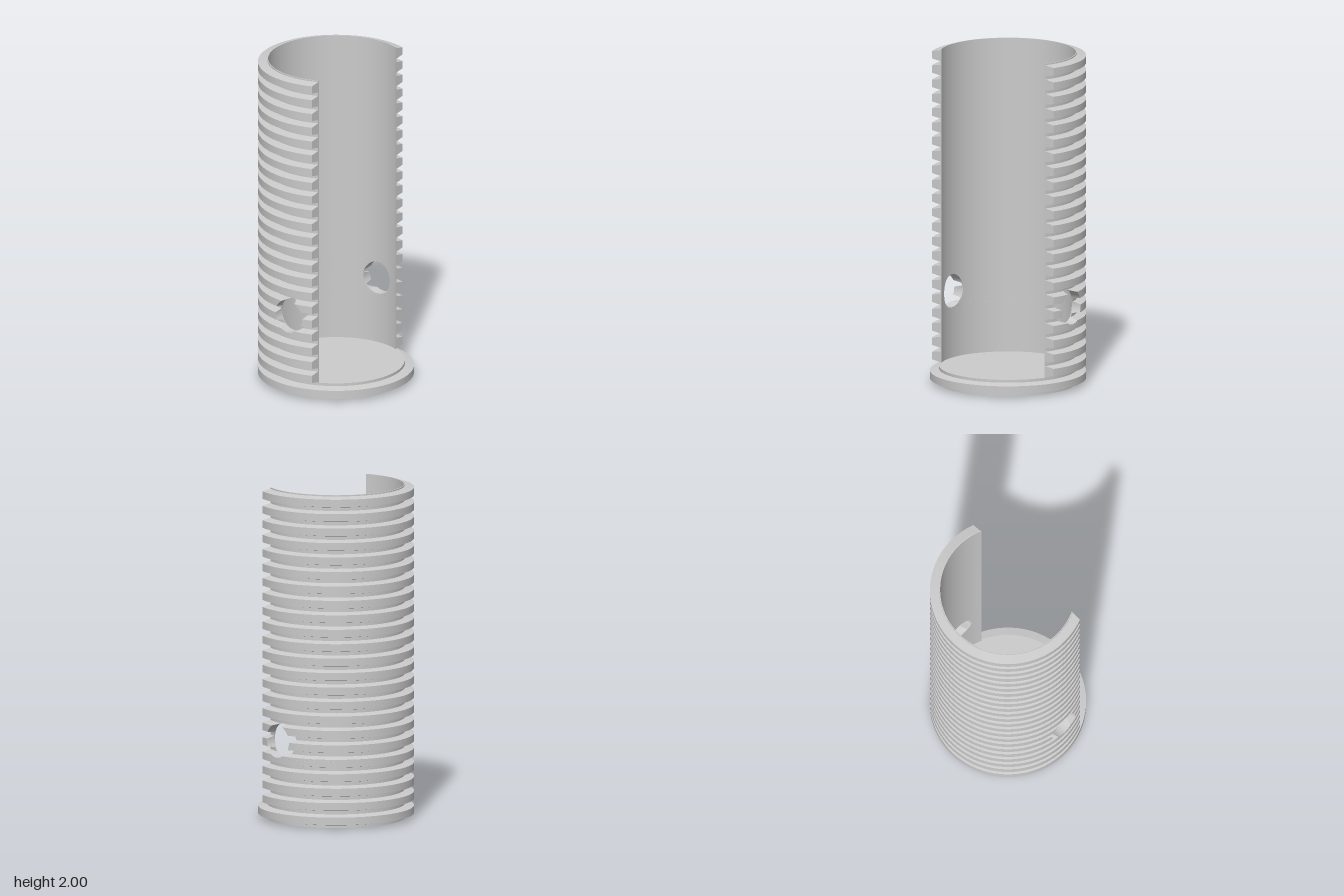
import * as THREE from 'three';
import { toCreasedNormals } from 'three/addons/utils/BufferGeometryUtils.js';

const INNER = 0.402, ROOT = 0.408, TIP = 0.463;   // wall and rib radii
const FLOOR = 0.1, TOP = 2, CUT_Z = 0.16;         // wall extent and front opening
const HOLE_Y = 0.505, HOLE_R = 0.1;               // cross hole along x
const PITCH = 0.0868, RIBS = 23, FIRST = 0.05;
const HALF_ROOT = 0.033, HALF_TIP = 0.0225;

// Rib outline around a centre height, as [y, radius] pairs
const ribProfile = (c) => [
  [c - HALF_ROOT, ROOT], [c - HALF_TIP, TIP], [c + HALF_TIP, TIP], [c + HALF_ROOT, ROOT],
];

function outerRadius(y) {
  const d = Math.abs(y - FIRST - PITCH * Math.round((y - FIRST) / PITCH));
  const t = THREE.MathUtils.clamp((HALF_ROOT - d) / (HALF_ROOT - HALF_TIP), 0, 1);
  return ROOT + (TIP - ROOT) * t;
}

const holeHalf = (y) => Math.sqrt(Math.max(0, HOLE_R ** 2 - (y - HOLE_Y) ** 2));

// Angle where a circle of radius r meets a given z, on the +x or the -x side
const leftAngle = (z, r) => Math.asin(z / r);
const rightAngle = (z, r) => -Math.PI - Math.asin(z / r);

// Loft a wall sector through the heights; start and end give its edge angles
function loftWall(heights, segs, start, end, cap) {
  const pos = [], index = [], cols = 2 * (segs + 1);
  for (const y of heights) {
    const ring = (r, reverse) => {
      const a0 = start(y, r), a1 = end(y, r);
      for (let j = 0; j <= segs; j++) {
        const t = (reverse ? segs - j : j) / segs;
        const a = a0 + (a1 - a0) * t;
        pos.push(r * Math.cos(a), y, r * Math.sin(a));
      }
    };
    ring(outerRadius(y), false);
    ring(INNER, true);
  }
  for (let i = 0; i < heights.length - 1; i++) {
    for (let k = 0; k < cols; k++) {
      const a = i * cols + k, b = i * cols + (k + 1) % cols;
      index.push(a, b, b + cols, a, b + cols, a + cols);
    }
  }
  if (cap) {
    const o = (heights.length - 1) * cols;
    for (let j = 0; j < segs; j++) {
      const a = o + j, b = a + 1, d = o + cols - 1 - j, c = d - 1;
      index.push(a, b, c, a, c, d);
    }
  }
  const geo = new THREE.BufferGeometry();
  geo.setAttribute('position', new THREE.Float32BufferAttribute(pos, 3));
  geo.setIndex(index);
  return toCreasedNormals(geo, 0.5);
}

export function createModel() {
  const model = new THREE.Group();
  const material = new THREE.MeshStandardMaterial({ color: 0xcccccc });
  const add = (name, geometry) => {
    const mesh = new THREE.Mesh(geometry, material);
    mesh.name = name;
    model.add(mesh);
  };

  // Solid round base with the lowest rib
  const basePoints = [[0, 0], [ROOT, 0], ...ribProfile(FIRST).map(([y, r]) => [r, y]),
    [ROOT, FLOOR], [0, FLOOR]].map(([r, y]) => new THREE.Vector2(r, y));
  add('base', toCreasedNormals(new THREE.LatheGeometry(basePoints, 96), 0.5));

  // Heights at every rib corner, with finer steps along the hole edge
  const holeLow = HOLE_Y - HOLE_R, holeHigh = HOLE_Y + HOLE_R;
  const corners = [];
  for (let i = 1; i < RIBS; i++) corners.push(...ribProfile(FIRST + PITCH * i).map((p) => p[0]));
  const curve = [];
  for (let i = 1; i < 24; i++) curve.push(HOLE_Y - HOLE_R * Math.cos(Math.PI * i / 24));
  const between = (lo, hi, extra = []) => [lo,
    ...[...corners, ...extra].filter((y) => y > lo + 1e-4 && y < hi - 1e-4).sort((a, b) => a - b), hi];

  // Ribbed wall below and above the hole, open at the front
  const cutLeft = (y, r) => leftAngle(CUT_Z, r);
  const cutRight = (y, r) => rightAngle(CUT_Z, r);
  add('lowerWall', loftWall(between(FLOOR, holeLow), 64, cutLeft, cutRight, false));
  add('upperWall', loftWall(between(holeHigh, TOP), 64, cutLeft, cutRight, true));

  // Wall at the height of the hole: the back, and a strip in front of each hole
  const band = between(holeLow, holeHigh, curve);
  add('holeBandBack', loftWall(band, 48,
    (y, r) => leftAngle(-holeHalf(y), r), (y, r) => rightAngle(-holeHalf(y), r), false));
  add('holeBandFrontLeft', loftWall(band, 8,
    cutLeft, (y, r) => leftAngle(holeHalf(y), r), false));
  add('holeBandFrontRight', loftWall(band, 8,
    (y, r) => rightAngle(holeHalf(y), r), cutRight, false));

  return model;
}
